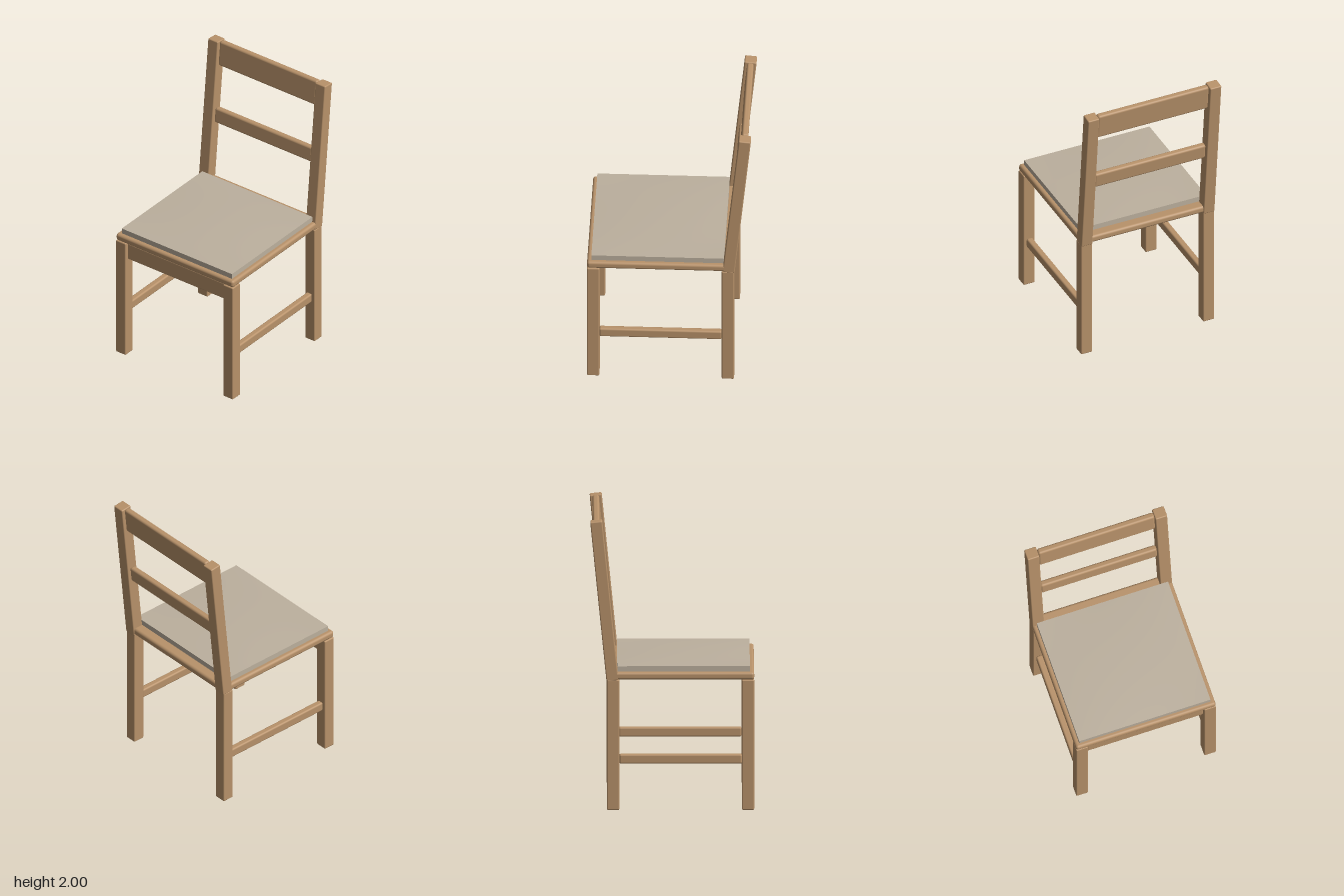
import * as THREE from 'three';
import { RoundedBoxGeometry } from 'three/addons/geometries/RoundedBoxGeometry.js';

const wood = new THREE.MeshStandardMaterial({ color: 0xb8926a });
wood.name = 'wood';
const fabric = new THREE.MeshStandardMaterial({ color: 0xbcb09e });
fabric.name = 'cushion fabric';

export function createModel() {
  const chair = new THREE.Group();
  chair.name = 'chair';

  // Wooden bar with softened edges
  const bar = (name, [w, h, d], [x, y, z], radius, tilt = 0) => {
    const mesh = new THREE.Mesh(new RoundedBoxGeometry(w, h, d, 3, radius), wood);
    mesh.name = name;
    mesh.position.set(x, y, z);
    mesh.rotation.x = tilt;
    chair.add(mesh);
  };

  // Backrest leans back; its centre line gives z at any height
  const lean = -0.1;
  const backZ = (y) => -0.458 + (y - 1.445) * Math.tan(lean);

  // Legs, side stretchers and back posts, mirrored
  for (const [side, s] of [['left', 1], ['right', -1]]) {
    const x = s * 0.458;
    bar(side + 'FrontLeg', [0.084, 0.9, 0.084], [x, 0.45, 0.517], 0.008);
    bar(side + 'BackLeg', [0.084, 0.9, 0.084], [x, 0.45, -0.398], 0.008);
    bar(side + 'Stretcher', [0.045, 0.066, 0.832], [x, 0.348, 0.06], 0.012);
    bar(side + 'BackPost', [0.084, 1.107, 0.082], [x, 1.445, backZ(1.445)], 0.008, lean);
  }

  // Front apron and backrest slats between the posts
  bar('frontApron', [0.832, 0.13, 0.045], [0, 0.834, 0.517], 0.012);
  bar('middleSlat', [0.832, 0.112, 0.045], [0, 1.431, backZ(1.431)], 0.015, lean);
  bar('topSlat', [0.832, 0.186, 0.045], [0, 1.905, backZ(1.905)], 0.015, lean);

  // Seat board
  bar('seat', [1, 0.052, 1], [0, 0.926, 0.059], 0.018);

  // Cushion with a slightly domed top
  const w = 0.94, h = 0.04, d = 0.9;
  const geo = new THREE.BoxGeometry(w, h, d, 20, 1, 20);
  const p = geo.attributes.position;
  for (let i = 0; i < p.count; i++) {
    if (p.getY(i) < 0) continue;
    const u = (2 * p.getX(i)) / w, v = (2 * p.getZ(i)) / d;
    p.setY(i, h / 2 + 0.011 * (1 - u * u) * (1 - v * v));
  }
  geo.computeVertexNormals();
  const cushion = new THREE.Mesh(geo, fabric);
  cushion.name = 'cushion';
  cushion.position.set(0, 0.97, 0.08);
  chair.add(cushion);

  return chair;
}
